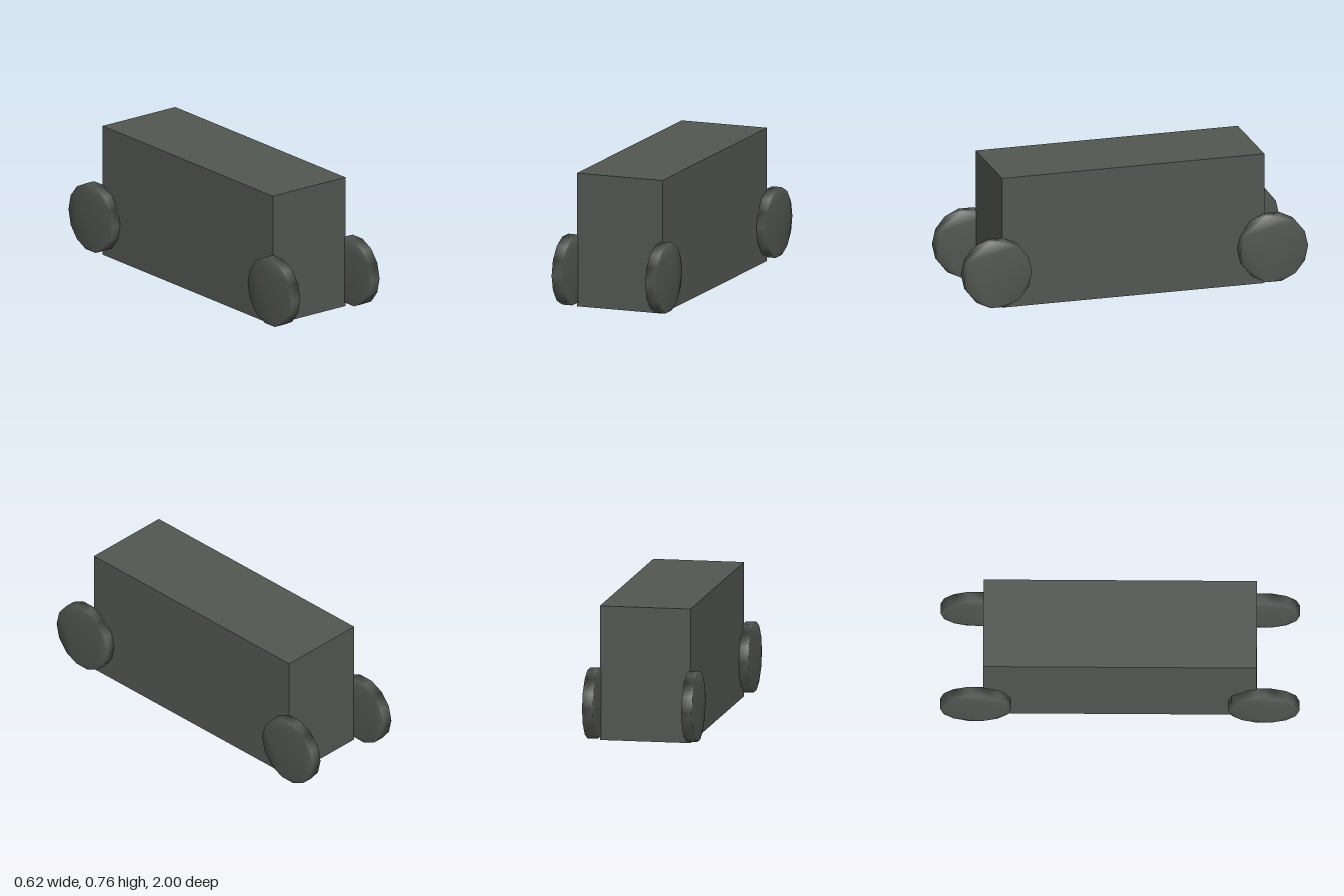
import * as THREE from 'three';
import { mergeVertices } from 'three/addons/utils/BufferGeometryUtils.js';

const WHEEL_RADIUS = 0.198, WHEEL_SIDES = 14, WHEEL_WIDTH = 0.06;

// Thin fourteen-sided disc with normals smoothed over the rim
function wheelGeometry() {
  const points = Array.from({ length: WHEEL_SIDES }, (_, i) => {
    const a = (i / WHEEL_SIDES) * Math.PI * 2;
    return new THREE.Vector2(Math.cos(a) * WHEEL_RADIUS, Math.sin(a) * WHEEL_RADIUS);
  });
  const disc = new THREE.ExtrudeGeometry(new THREE.Shape(points), {
    depth: WHEEL_WIDTH, bevelEnabled: false, steps: 1,
  });
  disc.translate(0, 0, -WHEEL_WIDTH / 2).rotateY(Math.PI / 2);
  disc.deleteAttribute('normal');
  disc.deleteAttribute('uv');
  const smooth = mergeVertices(disc, 1e-4);
  smooth.computeVertexNormals();
  return smooth;
}

export function createModel() {
  const model = new THREE.Group();
  model.name = 'wagon';
  const darkGrey = new THREE.MeshStandardMaterial({ color: 0x525752 });
  darkGrey.name = 'darkGrey';

  // Body
  const body = new THREE.Mesh(new THREE.BoxGeometry(0.516, 0.758, 1.524), darkGrey);
  body.name = 'body';
  body.position.y = 0.379;
  model.add(body);

  // Four wheels
  const geometry = wheelGeometry();
  for (const [side, x] of [['Left', 1], ['Right', -1]]) {
    for (const [end, z] of [['front', 1], ['back', -1]]) {
      const wheel = new THREE.Mesh(geometry, darkGrey);
      wheel.name = `${end}${side}Wheel`;
      wheel.position.set(x * 0.2815, 0.215, z * 0.802);
      model.add(wheel);
    }
  }
  return model;
}
